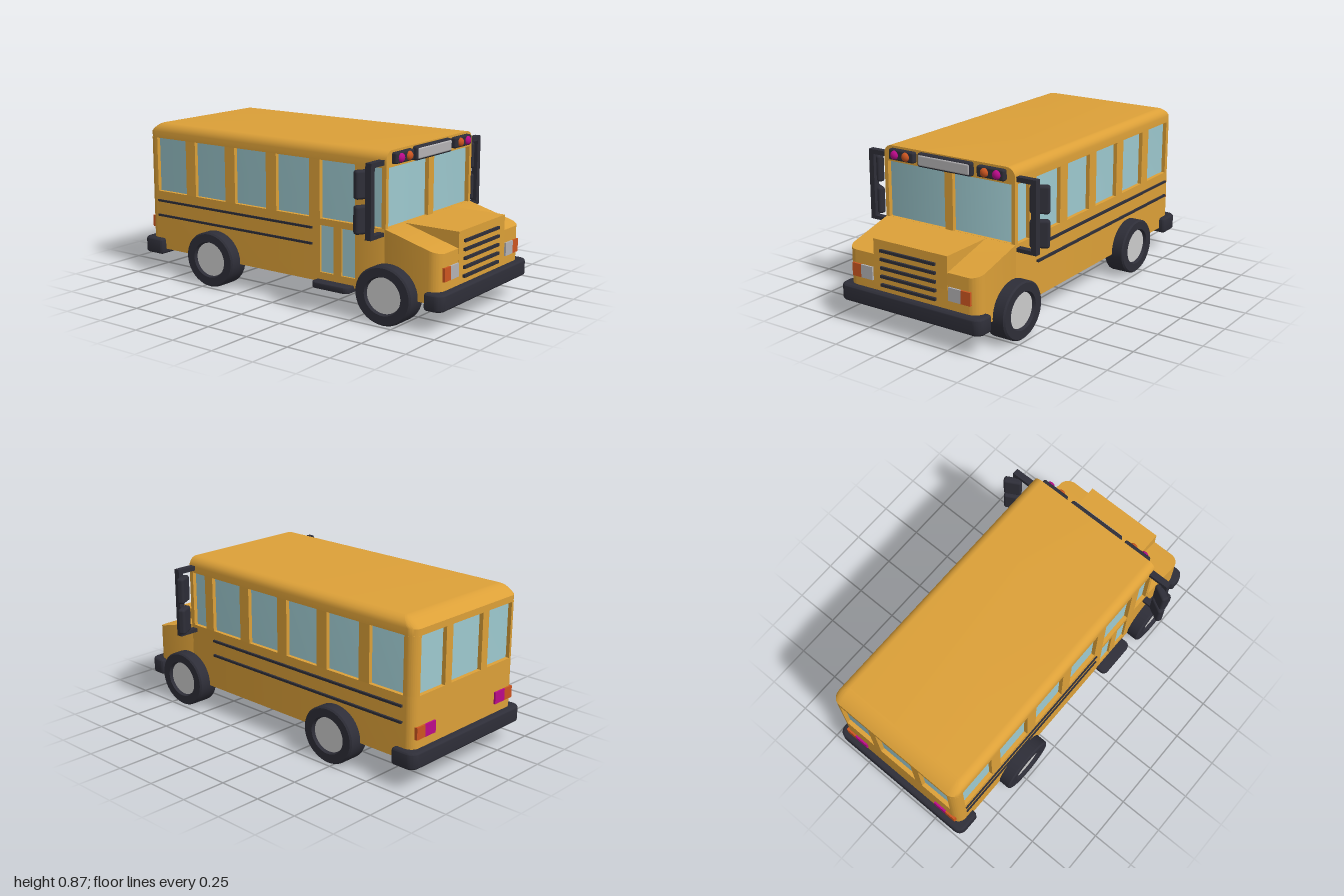
import * as THREE from 'three';
import { toCreasedNormals } from 'three/addons/utils/BufferGeometryUtils.js';
import { RoundedBoxGeometry } from 'three/addons/geometries/RoundedBoxGeometry.js';

const mat = (color) => new THREE.MeshStandardMaterial({ color });
const paint = mat(0xdca038), glass = mat(0x9ecad0), dark = mat(0x2e2e38), silver = mat(0xc4c8c8);
const grey = mat(0xb4b2b4), orange = mat(0xcc5520), magenta = mat(0xbb0a8a);

// Plan outline (x, z) with rounded back and front corners and an optional notch in the -x side
function plan(w, zB, zF, rB, rF, notch) {
  const s = new THREE.Shape(), H = Math.PI / 2;
  s.absarc(w - rF, zF - rF, rF, 0, H, false);
  s.absarc(-w + rF, zF - rF, rF, H, 2 * H, false);
  if (notch) {
    const [z0, z1, d] = notch;
    s.lineTo(-w, z1); s.lineTo(-w + d, z1); s.lineTo(-w + d, z0); s.lineTo(-w, z0);
  }
  s.absarc(-w + rB, zB + rB, rB, 2 * H, 3 * H, false);
  s.absarc(w - rB, zB + rB, rB, 3 * H, 4 * H, false);
  s.closePath();
  return s;
}

// Plan outline raised from y0 to y1, with an optional bevel added around it
function slab(shape, y0, y1, bevel = 0) {
  const g = new THREE.ExtrudeGeometry(shape, {
    depth: y1 - y0, curveSegments: 8, bevelEnabled: bevel > 0,
    bevelThickness: bevel, bevelSize: bevel, bevelOffset: -bevel, bevelSegments: 6,
  });
  return g.rotateX(Math.PI / 2).translate(0, y1, 0);
}

// Move every vertex by a rule
function warp(g, rule) {
  const p = g.attributes.position, v = new THREE.Vector3();
  for (let i = 0; i < p.count; i++) {
    rule(v.fromBufferAttribute(p, i));
    p.setXYZ(i, v.x, v.y, v.z);
  }
  return g;
}

export function createModel() {
  const root = new THREE.Group();
  const add = (name, g, m, parent = root) => {
    const mesh = new THREE.Mesh(g, m);
    mesh.name = name;
    parent.add(mesh);
    return mesh;
  };
  const smooth = (g) => toCreasedNormals(g, 0.6);
  // Box given by its limits
  const box = (name, m, x0, x1, y0, y1, z0, z1, r = 0, parent = root) => {
    const size = [x1 - x0, y1 - y0, z1 - z0];
    const g = r ? new RoundedBoxGeometry(...size, 3, r) : new THREE.BoxGeometry(...size);
    return add(name, g.translate((x0 + x1) / 2, (y0 + y1) / 2, (z0 + z1) / 2), m, parent);
  };
  // Same box on both sides
  const pair = (name, m, x0, x1, ...rest) => {
    box(name, m, x0, x1, ...rest);
    box(name, m, -x1, -x0, ...rest);
  };

  const W = 0.412, BACK = -0.965, NOSE = 0.965, CAB = 0.655, SILL = 0.475, HEAD = 0.78;

  // Lower body and sloping fenders
  add('lowerBody', smooth(slab(plan(W, BACK, 0.65, 0.05, 0.002, [0.23, 0.49, 0.03]), 0.14, SILL)), paint);
  const fenders = warp(slab(plan(W, 0.648, NOSE, 0.002, 0.06), 0.14, SILL), (v) => {
    if (v.y > 0.4) v.y -= Math.max(0, v.z - 0.65) * 0.27;
  });
  add('frontFenders', smooth(fenders), paint);
  box('hood', paint, -0.232, 0.232, 0.3, SILL - 0.001, 0.64, NOSE + 0.002);

  // Roof: rounded at the sides and back, cut straight at the front
  const roof = warp(slab(plan(W, BACK, 0.76, 0.052, 0.052), HEAD, 0.815, 0.05), (v) => {
    v.y = Math.max(v.y, HEAD);
    if (v.z < -0.5 && v.y > 0.815) v.z += (v.y - 0.815) * 0.9;
    v.z = Math.min(v.z, CAB);
  });
  add('roof', smooth(roof), paint);

  // Recessed glass core, seen between the posts
  add('windows', smooth(slab(plan(0.39, -0.942, 0.632, 0.02, 0.002), SILL - 0.01, HEAD + 0.01)), glass);
  const posts = new THREE.Group();
  posts.name = 'windowPosts';
  root.add(posts);
  const post = (x0, x1, z0, z1) => box('windowPost', paint, x0, x1, SILL, HEAD, z0, z1, 0, posts);
  for (const s of [-1, 1]) {
    const side = (a, b, z0, z1) => post(Math.min(s * a, s * b), Math.max(s * a, s * b), z0, z1);
    for (let i = 0; i < 4; i++) side(0.38, W, -0.682 + i * 0.287, -0.613 + i * 0.287);
    side(0.38, W, 0.468, 0.53);
    side(0.39, W, 0.63, CAB);
    side(0.12, 0.17, BACK, -0.93);
    // Rounded rear corner post
    const c = new THREE.Shape();
    c.moveTo(s * 0.37, -0.9);
    c.lineTo(s * W, -0.9);
    c.lineTo(s * W, BACK + 0.05);
    c.absarc(s * (W - 0.05), BACK + 0.05, 0.05, s > 0 ? 0 : Math.PI, -Math.PI / 2 + (s > 0 ? 0 : 2 * Math.PI), s > 0);
    c.closePath();
    add('rearCornerPost', smooth(slab(c, SILL, HEAD)), paint, posts);
  }
  post(-0.02, 0.03, 0.62, CAB);

  // Entry door with two tall panes, and its step
  const door = new THREE.Group();
  door.name = 'entryDoor';
  root.add(door);
  box('doorGlass', glass, -0.4, -0.38, 0.15, 0.46, 0.235, 0.485, 0, door);
  for (const [a, b] of [[0.23, 0.25], [0.335, 0.385], [0.47, 0.49]]) box('doorPost', paint, -W, -0.38, 0.14, SILL, a, b, 0, door);
  box('doorBottomRail', paint, -W, -0.38, 0.14, 0.19, 0.23, 0.49, 0, door);
  box('doorTopRail', paint, -W, -0.38, 0.44, SILL, 0.23, 0.49, 0, door);
  add('doorStep', smooth(slab(plan(0.11, 0.23, 0.465, 0.03, 0.03), 0.124, 0.146, 0.006)), dark).position.x = -0.362;

  // Side stripes
  for (const y of [0.335, 0.42]) {
    box('leftStripe', dark, 0.4, 0.424, y - 0.006, y + 0.006, -0.9, 0.465);
    box('rightStripe', dark, -0.42, -0.4, y - 0.006, y + 0.006, -0.9, 0.2);
  }

  // Grille slots, headlights and tail lights
  for (let i = 0; i < 5; i++) {
    const y = 0.238 + i * 0.0455;
    box('grilleSlot', dark, -0.185, 0.162, y - 0.0075, y + 0.0075, 0.95, 0.979);
  }
  pair('headlight', grey, 0.24, 0.315, 0.25, 0.32, 0.94, 0.975);
  pair('turnSignal', orange, 0.315, 0.372, 0.25, 0.32, 0.93, 0.975);
  pair('tailLight', magenta, 0.245, 0.325, 0.253, 0.318, -0.975, -0.94);
  pair('rearTurnSignal', orange, 0.325, 0.388, 0.253, 0.318, -0.975, -0.93);

  // Destination sign and roof warning lamps
  box('signFrame', dark, -0.175, 0.165, 0.785, 0.858, 0.64, 0.682, 0.012);
  box('signPanel', grey, -0.166, 0.156, 0.793, 0.85, 0.66, 0.686, 0.008);
  pair('lampHousing', dark, 0.198, 0.363, 0.795, 0.853, 0.64, 0.682, 0.01);
  for (const s of [-1, 1]) {
    for (const [x, m] of [[0.248, orange], [0.321, magenta]]) {
      const g = new THREE.SphereGeometry(0.024, 20, 12).scale(1, 1, 0.75);
      add('warningLamp', g, m).position.set(s * x, 0.824, 0.681);
    }
  }

  // Bumpers
  add('frontBumper', smooth(slab(plan(0.446, 0.895, 1, 0.02, 0.045), 0.126, 0.186, 0.015)), dark);
  add('rearBumper', smooth(slab(plan(0.446, -1, -0.855, 0.045, 0.02), 0.126, 0.186, 0.015)), dark);

  // Wheels: a lathed tyre with a recessed hub disc, slightly longer than tall
  const profile = [[0, -0.06], [0.144, -0.06], [0.152, -0.052], [0.152, 0.052], [0.144, 0.06],
    [0.1, 0.06], [0.092, 0.04]].map(([r, h]) => new THREE.Vector2(r, h));
  for (const s of [-1, 1]) {
    for (const [end, z] of [['front', 0.682], ['rear', -0.463]]) {
      const wheel = new THREE.Group();
      wheel.name = end + 'Wheel';
      wheel.position.set(s * 0.42, 0.152, z);
      root.add(wheel);
      const turn = (g) => g.rotateZ(-s * Math.PI / 2).scale(1, 1, 1.09);
      add('tyre', smooth(turn(new THREE.LatheGeometry(profile, 40))), dark, wheel);
      add('hub', turn(new THREE.CylinderGeometry(0.094, 0.094, 0.02, 40).translate(0, 0.033, 0)), silver, wheel);
    }
  }

  // Mirror brackets and angled mirrors
  pair('mirrorTopArm', dark, 0.38, 0.527, 0.795, 0.82, 0.61, 0.645);
  pair('mirrorBottomArm', dark, 0.38, 0.527, 0.437, 0.457, 0.61, 0.645);
  pair('mirrorUpright', dark, 0.497, 0.527, 0.437, 0.82, 0.61, 0.645);
  for (const s of [-1, 1]) {
    for (const y of [0.537, 0.712]) {
      const mirror = add('mirror', new RoundedBoxGeometry(0.1, 0.145, 0.04, 3, 0.014), dark);
      mirror.position.set(s * 0.515, y, 0.592);
      mirror.rotation.y = s * 0.5;
    }
  }
  return root;
}
